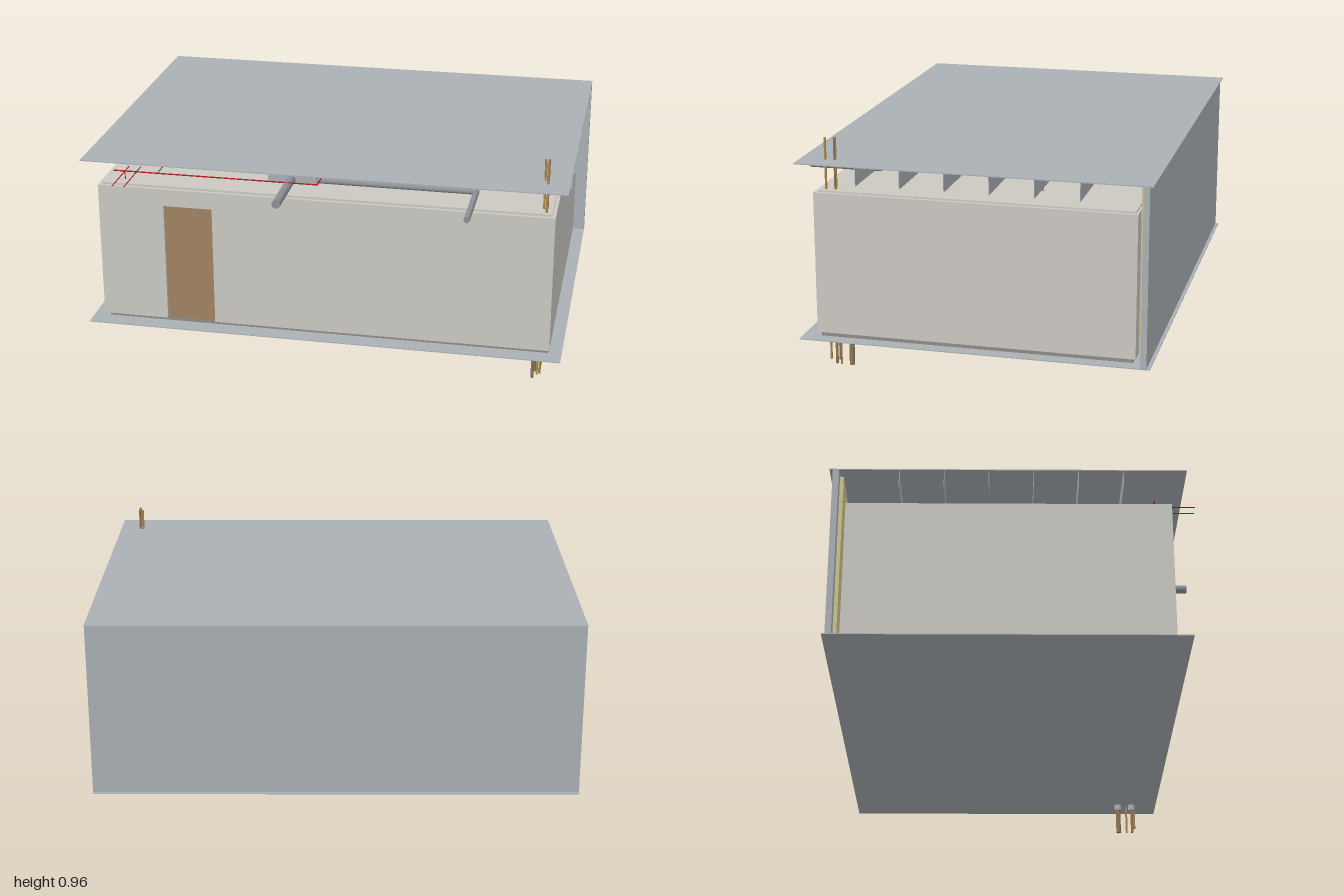
import * as THREE from 'three';

const mat = (name, color, side = THREE.FrontSide) => {
  const m = new THREE.MeshStandardMaterial({ color, side });
  m.name = name;
  return m;
};

export function createModel() {
  const slab = mat('concrete grey', 0xa9b0b4);
  const wall = mat('wall off-white', 0xcbc8c2);
  const base = mat('floor base grey', 0x8f8c86);
  const wood = mat('door wood', 0xa08262);
  const lining = mat('lining yellow', 0xcfc68f);
  const steel = mat('duct steel', 0x8c9196);
  const red = mat('sprinkler red', 0xb01c20);
  const copper = mat('pipe copper', 0xb08a4a);
  const brown = mat('pipe brown', 0x8f7658);

  const model = new THREE.Group();
  model.name = 'roomModule';

  // box given by its extents on each axis
  const box = (name, m, [x0, x1], [y0, y1], [z0, z1]) => {
    const mesh = new THREE.Mesh(new THREE.BoxGeometry(x1 - x0, y1 - y0, z1 - z0), m);
    mesh.position.set((x0 + x1) / 2, (y0 + y1) / 2, (z0 + z1) / 2);
    mesh.name = name;
    model.add(mesh);
  };

  // round pipe through a list of points, with ball elbows at the bends
  const pipe = (name, m, r, points) => {
    const g = new THREE.Group();
    g.name = name;
    const pts = points.map(p => new THREE.Vector3(...p));
    for (let i = 0; i < pts.length - 1; i++) {
      const dir = pts[i + 1].clone().sub(pts[i]);
      const part = new THREE.Mesh(new THREE.CylinderGeometry(r, r, dir.length(), r > 0.008 ? 20 : 8), m);
      part.position.copy(pts[i]).addScaledVector(dir, 0.5);
      part.quaternion.setFromUnitVectors(new THREE.Vector3(0, 1, 0), dir.normalize());
      g.add(part);
      if (i > 0) {
        const elbow = new THREE.Mesh(new THREE.SphereGeometry(r, 16, 10), m);
        elbow.position.copy(pts[i]);
        g.add(elbow);
      }
    }
    model.add(g);
  };

  // building slabs, rear wall and its lining
  box('floorSlab', slab, [-1, 1], [0.137, 0.141], [-0.755, 0.68]);
  box('roofSlab', slab, [-1, 1], [0.871, 0.875], [-0.755, 0.68]);
  box('rearWall', slab, [-1, 1], [0.141, 0.871], [-0.742, -0.717]);
  box('rearLining', lining, [-0.945, 0.945], [0.155, 0.871], [-0.717, -0.702]);

  // thin joists hanging below the roof
  for (let i = 0; i < 6; i++) {
    const z = 0.425 - i * 0.18;
    box('roofJoist', slab, [-1, 1], [0.797, 0.871], [z - 0.001, z + 0.001]);
  }

  // room shell
  box('floorBase', base, [-0.93, 0.945], [0.141, 0.157], [-0.68, 0.605]);
  for (const s of [-1, 1]) {
    const x = [s * 0.95, s * 0.935].sort((a, b) => a - b);
    box('sideWall', wall, x, [0.157, 0.746], [-0.68, 0.605]);
  }
  box('backPanel', wall, [-0.95, 0.95], [0.157, 0.746], [-0.69, -0.68]);
  box('ceilingPanel', wall, [-0.935, 0.935], [0.742, 0.753], [-0.68, 0.6]);
  box('serviceHatch', slab, [-0.15, 0.15], [0.39, 0.615], [-0.701, -0.69]);

  // front wall with a door opening
  const front = new THREE.Shape([
    [-0.95, 0.157], [-0.67, 0.157], [-0.67, 0.672], [-0.463, 0.672],
    [-0.463, 0.157], [0.95, 0.157], [0.95, 0.746], [-0.95, 0.746],
  ].map(p => new THREE.Vector2(...p)));
  const frontWall = new THREE.Mesh(
    new THREE.ExtrudeGeometry(front, { depth: 0.015, bevelEnabled: false }), wall);
  frontWall.position.z = 0.605;
  frontWall.name = 'frontWall';
  model.add(frontWall);
  box('door', wood, [-0.67, -0.463], [0.157, 0.672], [0.598, 0.607]);

  // air unit and ducts above the ceiling
  box('airUnit', slab, [-0.255, -0.05], [0.755, 0.823], [0.272, 0.477]);
  pipe('frontDuct', steel, 0.018, [[-0.157, 0.774, 0.477], [-0.157, 0.774, 0.755]]);
  pipe('exhaustDuct', steel, 0.0125, [[-0.05, 0.768, 0.45], [0.612, 0.768, 0.45], [0.612, 0.768, 0.755]]);
  pipe('rearDuct', steel, 0.015, [[-0.157, 0.773, 0.272], [-0.157, 0.773, -0.395], [-0.46, 0.773, -0.395]]);

  // sprinkler lines and drops
  pipe('sprinklerMain', red, 0.003, [
    [-0.9, 0.79, 0.555], [-0.03, 0.79, 0.555], [-0.03, 0.79, -0.27], [0.84, 0.79, -0.27],
  ]);
  pipe('sprinklerBranch', red, 0.002, [[-0.71, 0.79, 0.555], [-0.71, 0.79, 0.08], [-0.71, 0.755, 0.08]]);
  pipe('sprinklerDrop', red, 0.002, [[0.74, 0.79, -0.27], [0.74, 0.755, -0.27]]);
  for (const x of [-0.85, -0.8])
    pipe('sprinklerFeed', red, 0.002, [[x, 0.79, 0.5], [x, 0.79, 0.725]]);
  pipe('feedDrop', red, 0.002, [[-0.85, 0.79, 0.555], [-0.85, 0.755, 0.555]]);

  // risers through the front corner, and drains below the floor
  pipe('riser', copper, 0.005, [[0.911, 0.03, 0.578], [0.911, 0.965, 0.578]]);
  pipe('riser', copper, 0.0045, [[0.897, 0.005, 0.54], [0.897, 0.965, 0.54]]);
  pipe('riser', brown, 0.004, [[0.911, 0.03, 0.54], [0.911, 0.965, 0.54]]);
  pipe('drain', brown, 0.011, [[0.88, 0, 0.5], [0.88, 0.14, 0.5]]);
  pipe('drain', brown, 0.006, [[0.88, 0, 0.565], [0.88, 0.14, 0.565]]);
  pipe('drainCollar', slab, 0.017, [[0.88, 0.112, 0.5], [0.88, 0.138, 0.5]]);
  pipe('drainCollar', slab, 0.017, [[0.88, 0.112, 0.565], [0.88, 0.138, 0.565]]);

  return model;
}
